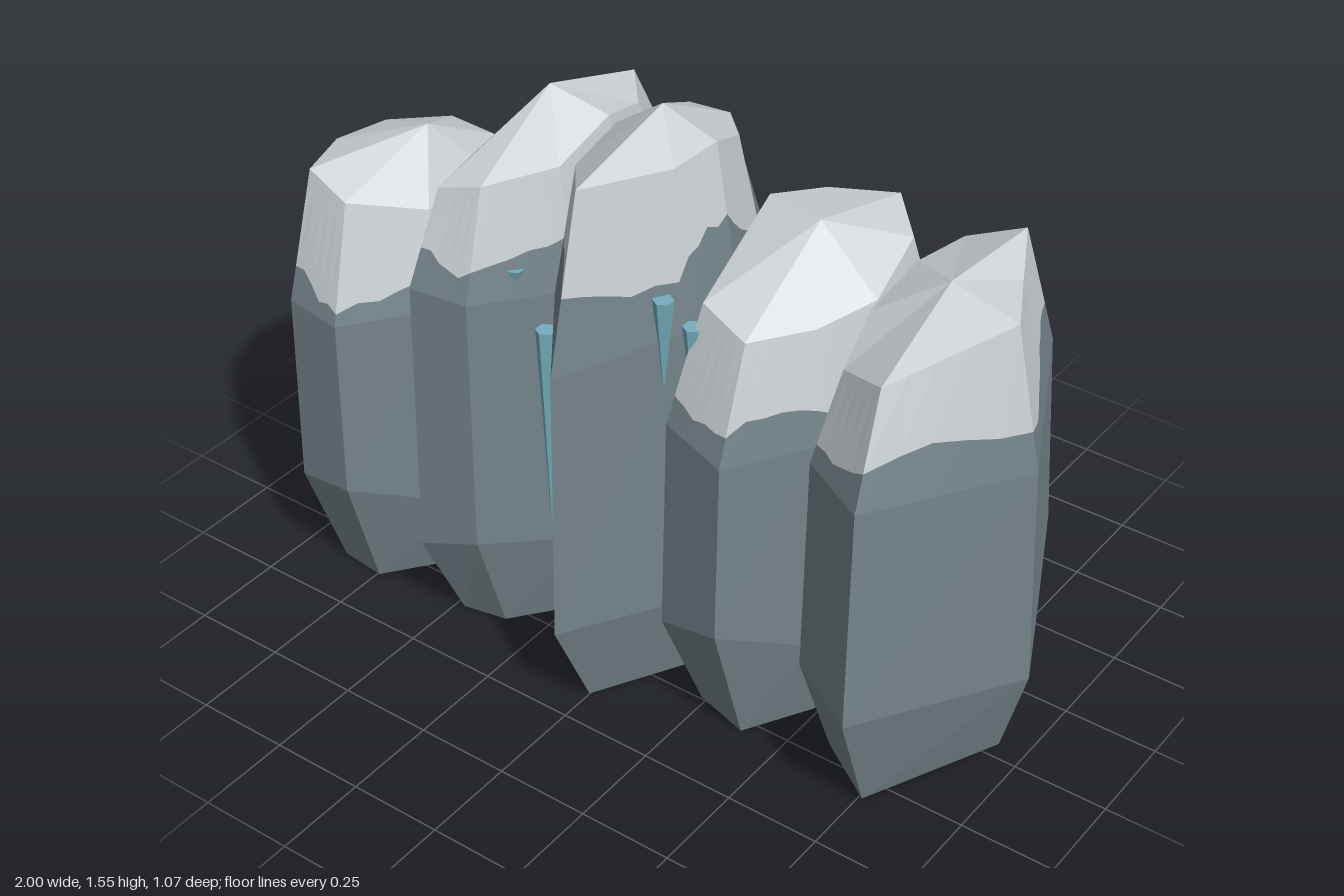
import * as THREE from 'three';

const mat = (name, color) => {
  const m = new THREE.MeshStandardMaterial({ color });
  m.name = name;
  return m;
};

function seeded(seed) {
  let s = seed;
  return () => (s = (s * 16807) % 2147483647) / 2147483647;
}

// Flat-faced geometry from a list of triangle corners
function facets(points) {
  const g = new THREE.BufferGeometry().setFromPoints(points);
  g.computeVertexNormals();
  return g;
}

// Faces between two rings of equal length
function band(out, lower, upper) {
  lower.forEach((a, i) => {
    const j = (i + 1) % lower.length;
    out.push(lower[j], a, upper[i], lower[j], upper[i], upper[j]);
  });
}

// Faces from a ring to one point above or below it
function fan(out, ring, tip, up) {
  ring.forEach((a, i) => {
    const b = ring[(i + 1) % ring.length];
    if (up) out.push(b, a, tip);
    else out.push(a, b, tip);
  });
}

// Adds points along the straight edges of a ring
function subdivide(ring, n) {
  return ring.flatMap((a, i) => {
    const b = ring[(i + 1) % ring.length];
    return Array.from({ length: n }, (_, k) => a.clone().lerp(b, k / n));
  });
}

// outline: widest section as [x, z], clockwise from above
// rim: mean height of the top edge, and its slope along x and z
// snowStart: where the snow begins between shoulder (0) and rim (1)
function makeRock({ name, outline, apex, rim, snowStart }, seed, rockMat, snowMat) {
  const rnd = seeded(seed);
  const jitter = size => (rnd() - 0.5) * size;
  const cx = outline.reduce((sum, p) => sum + p[0], 0) / outline.length;
  const cz = outline.reduce((sum, p) => sum + p[1], 0) / outline.length;
  const ring = (scaleX, scaleZ, lean, height) => outline.map(([x, z]) => new THREE.Vector3(
    cx + (x - cx) * scaleX, height(x - cx, z - cz), cz + lean + (z - cz) * scaleZ));

  const base = ring(0.76, 0.75, 0, () => 0);
  const belly = ring(1, 1, 0, () => 0.31 + jitter(0.16));
  const shoulder = ring(0.95, 0.92, 0.025, () => apex[1] * 0.69 + jitter(0.1));
  const top = ring(0.72, 0.65, 0.055,
    (dx, dz) => rim[0] + dx * rim[1] + dz * rim[2] + jitter(0.06));

  // Ragged snow line between shoulder and top edge
  const fineShoulder = subdivide(shoulder, 5);
  const fineTop = subdivide(top, 5);
  const snowLine = fineShoulder.map((p, i) => p.clone().lerp(fineTop[i],
    snowStart + Math.sin(i * 0.55 + seed) * 0.1 + jitter(0.08)));

  const stone = [];
  fan(stone, base, new THREE.Vector3(cx, 0, cz), false);
  band(stone, base, belly);
  band(stone, belly, shoulder);
  band(stone, fineShoulder, snowLine);

  const snow = [];
  band(snow, snowLine, fineTop);
  fan(snow, top, new THREE.Vector3(...apex), true);

  const group = new THREE.Group();
  group.name = name;
  const body = new THREE.Mesh(facets(stone), rockMat);
  body.name = 'stoneBody';
  const cap = new THREE.Mesh(facets(snow), snowMat);
  cap.name = 'snowCap';
  group.add(body, cap);
  return group;
}

export function createModel() {
  const model = new THREE.Group();
  model.name = 'snowyRockWall';
  const rockMat = mat('slate stone', 0x748389);
  const snowMat = mat('snow', 0xcbd1d4);
  const iceMat = mat('ice', 0x74aebd);
  iceMat.flatShading = true;

  const addRock = (name, seed, apex, rim, snowStart, outline) =>
    model.add(makeRock({ name, outline, apex, rim, snowStart }, seed, rockMat, snowMat));

  addRock('outerRightRock', 101, [-0.74, 1.24, 0.06], [1.13, -0.12, 0.08], 0.22,
    [[-1, 0.17], [-0.99, -0.1], [-0.88, -0.35], [-0.71, -0.38],
      [-0.57, -0.22], [-0.55, 0.22], [-0.73, 0.46], [-0.9, 0.44]]);
  addRock('innerRightRock', 138, [-0.37, 1.46, 0.03], [1.32, 0.25, -0.05], 0.35,
    [[-0.36, -0.53], [-0.22, -0.35], [-0.17, -0.1], [-0.18, 0.18],
      [-0.35, 0.4], [-0.51, 0.43], [-0.62, 0.1], [-0.6, -0.2]]);
  addRock('centreRock', 175, [0, 1.55, 0.08], [1.45, 0.2, 0.08], 0.42,
    [[-0.19, -0.42], [0.02, -0.35], [0.17, -0.17], [0.23, 0.06],
      [0.17, 0.22], [0, 0.53], [-0.2, 0.25], [-0.24, -0.05]]);
  addRock('innerLeftRock', 212, [0.36, 1.31, -0.04], [1.22, -0.1, -0.12], 0.28,
    [[0.41, -0.54], [0.57, -0.35], [0.61, -0.05], [0.52, 0.18],
      [0.39, 0.41], [0.19, 0.35], [0.1, -0.2], [0.2, -0.41]]);
  addRock('outerLeftRock', 249, [0.73, 1.3, -0.01], [1.22, 0.13, -0.1], 0.28,
    [[0.55, -0.5], [0.77, -0.51], [0.88, -0.28], [1, -0.03],
      [0.78, 0.45], [0.56, 0.3], [0.51, 0.05], [0.51, -0.25]]);

  // Icicles: x, z, top, tip
  const icicles = [
    [-0.21, 0.27, 0.95, 0.38], [0.14, 0.27, 1.17, 0.93],
    [0.225, 0.27, 1.13, 0.91], [-0.29, 0.28, 1.1, 1.04],
  ];
  for (const [x, z, top, tip] of icicles) {
    const icicle = new THREE.Mesh(new THREE.CylinderGeometry(0.026, 0.002, top - tip, 6), iceMat);
    icicle.name = 'icicle';
    icicle.position.set(x, (top + tip) / 2, z);
    model.add(icicle);
  }
  return model;
}
